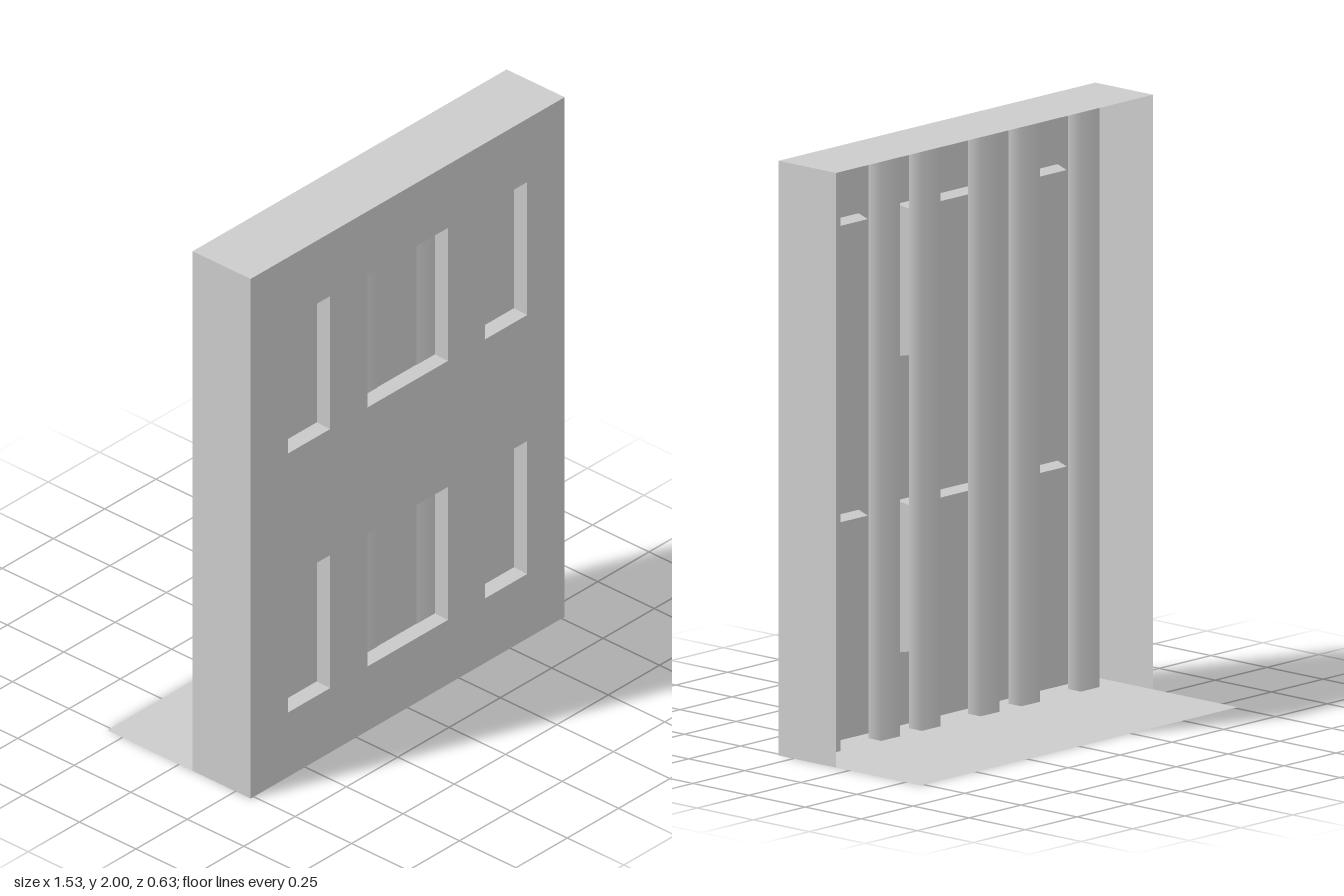
import * as THREE from 'three';

const W = 0.765, H = 2, FRONT = 0.317, BACK = 0.06; // half width, height, shell depth range
const RECESS = 0.05, TAPER = 0.01;

const material = new THREE.MeshStandardMaterial({ color: 0xcccccc, side: THREE.DoubleSide });

function addMesh(parent, name, geometry) {
  const mesh = new THREE.Mesh(geometry, material);
  mesh.name = name;
  parent.add(mesh);
  return mesh;
}

function rectPoints(cx, cy, w, h) {
  const x = w / 2, y = h / 2;
  return [[-x, -y], [x, -y], [x, y], [-x, y]].map(([a, b]) => new THREE.Vector2(cx + a, cy + b));
}

// Flat rectangle with rectangular holes
function sheet(cx, cy, w, h, holes = []) {
  const shape = new THREE.Shape(rectPoints(cx, cy, w, h));
  for (const r of holes) shape.holes.push(new THREE.Path(rectPoints(...r).reverse()));
  return new THREE.ShapeGeometry(shape);
}

// Tapered tray set into the wall: four slanted reveals and a flat pane
function recessGeometry(cx, cy, w, h) {
  const outer = rectPoints(cx, cy, w, h).map(p => [p.x, p.y, FRONT]);
  const inner = rectPoints(cx, cy, w - 2 * TAPER, h - 2 * TAPER).map(p => [p.x, p.y, FRONT - RECESS]);
  const pos = [];
  const quad = (a, b, c, d) => pos.push(...a, ...b, ...c, ...a, ...c, ...d);
  for (let i = 0; i < 4; i++) {
    const j = (i + 1) % 4;
    quad(outer[i], outer[j], inner[j], inner[i]);
  }
  quad(...inner);
  const g = new THREE.BufferGeometry();
  g.setAttribute('position', new THREE.Float32BufferAttribute(pos, 3));
  g.computeVertexNormals();
  return g;
}

export function createModel() {
  const model = new THREE.Group();
  model.name = 'facade';

  // Window openings: two rows of narrow, wide, narrow
  const windows = [];
  for (const y of [0.504, 1.501])
    for (const [x, w] of [[-0.48, 0.205], [0, 0.392], [0.48, 0.205]])
      windows.push([x, y, w, 0.512]);

  // Front wall with recessed windows
  addMesh(model, 'frontWall', sheet(0, H / 2, 2 * W, H, windows)).position.z = FRONT;
  for (const r of windows) addMesh(model, 'windowRecess', recessGeometry(...r));

  // Side walls and roof
  const depth = FRONT - BACK, mid = (FRONT + BACK) / 2;
  for (const s of [-1, 1]) {
    const side = sheet(0, 0, depth, H).rotateY(s * Math.PI / 2).translate(s * W, H / 2, mid);
    addMesh(model, s > 0 ? 'leftWall' : 'rightWall', side);
  }
  addMesh(model, 'roof', sheet(0, 0, 2 * W, depth).rotateX(-Math.PI / 2).translate(0, H, mid));

  // Rear posts: open square tubes with smooth normals
  const postX = [-0.625, -0.338, -0.142, 0.142, 0.338, 0.625];
  const postW = 0.09, postD = 0.057, postZ = 0.24;
  for (const x of postX) {
    const g = new THREE.CylinderGeometry(Math.SQRT1_2, Math.SQRT1_2, 1, 4, 1, true);
    g.rotateY(Math.PI / 4).scale(postW, H, postD).translate(x, H / 2, postZ);
    addMesh(model, 'post', g);
  }

  // Thin floor, open under each post
  const floor = sheet(0, 0, 2 * W, 2 * FRONT, postX.map(x => [x, -postZ, postW, postD]));
  addMesh(model, 'floor', floor.rotateX(-Math.PI / 2));

  return model;
}
